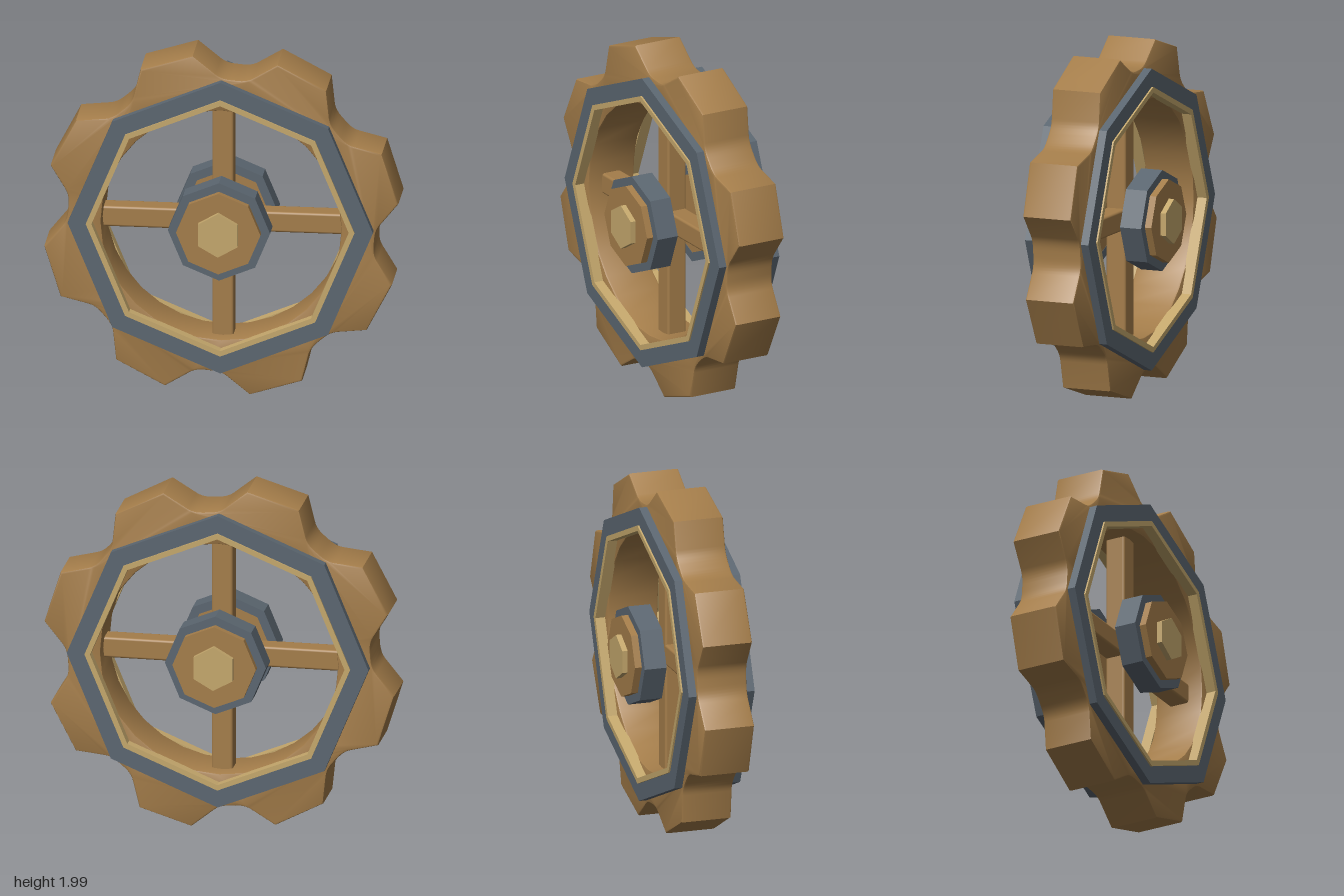
import * as THREE from 'three';
import { toCreasedNormals } from 'three/addons/utils/BufferGeometryUtils.js';
import { RoundedBoxGeometry } from 'three/addons/geometries/RoundedBoxGeometry.js';

const wood = new THREE.MeshStandardMaterial({ name: 'wood', color: 0xa47d4a });
const slate = new THREE.MeshStandardMaterial({ name: 'slate metal', color: 0x5b6670 });
const brass = new THREE.MeshStandardMaterial({ name: 'pale brass', color: 0xc4a76c });

// Regular polygon with one corner pointing up
function polygon(radius, sides) {
  const points = [];
  for (let i = 0; i < sides; i++) {
    const a = Math.PI / 2 + (i / sides) * Math.PI * 2;
    points.push(new THREE.Vector2(Math.cos(a) * radius, Math.sin(a) * radius));
  }
  return points;
}

// Flat-sided prism from z0 to z1, with an optional polygon hole
function prism(name, material, sides, outer, inner, z0, z1) {
  const shape = new THREE.Shape(polygon(outer, sides));
  if (inner) shape.holes.push(new THREE.Path(polygon(inner, sides)));
  const geometry = new THREE.ExtrudeGeometry(shape, { depth: z1 - z0, bevelEnabled: false });
  geometry.translate(0, 0, z0);
  const mesh = new THREE.Mesh(geometry, material);
  mesh.name = name;
  return mesh;
}

// Rim with eight blunt teeth and softly rounded valleys
function toothedRim() {
  const shape = new THREE.Shape();
  const centre = new THREE.Vector2();
  const tooth = [[-0.455, 0.905], [-0.16, 0.997], [0, 0.868], [0.145, 0.857]];
  for (let i = 0; i < 8; i++) {
    const at = (k, turn = i) => new THREE.Vector2(...tooth[k]).rotateAround(centre, -turn * Math.PI / 4);
    const [start, tip, rootA, rootB, next] = [at(0), at(1), at(2), at(3), at(0, i + 1)];
    if (i === 0) shape.moveTo(start.x, start.y);
    else shape.lineTo(start.x, start.y);
    shape.lineTo(tip.x, tip.y);
    const a0 = tip.clone().lerp(rootA, 0.8), a1 = rootA.clone().lerp(rootB, 0.35);
    const b0 = rootA.clone().lerp(rootB, 0.65), b1 = rootB.clone().lerp(next, 0.2);
    shape.lineTo(a0.x, a0.y);
    shape.quadraticCurveTo(rootA.x, rootA.y, a1.x, a1.y);
    shape.lineTo(b0.x, b0.y);
    shape.quadraticCurveTo(rootB.x, rootB.y, b1.x, b1.y);
  }
  shape.closePath();
  shape.holes.push(new THREE.Path(polygon(0.677, 32)));
  const bevel = 0.012;
  const geometry = new THREE.ExtrudeGeometry(shape, {
    depth: 0.296 - 2 * bevel, curveSegments: 5, bevelSegments: 2,
    bevelSize: bevel, bevelThickness: bevel, bevelOffset: -bevel,
  });
  geometry.translate(0, 0, -0.148 + bevel);
  const mesh = new THREE.Mesh(toCreasedNormals(geometry, 0.5), wood);
  mesh.name = 'toothedRim';
  return mesh;
}

export function createModel() {
  const wheel = new THREE.Group();
  wheel.name = 'gearWheel';
  wheel.add(toothedRim());

  // Four square spokes meeting in the middle
  for (let i = 0; i < 4; i++) {
    const geometry = new RoundedBoxGeometry(0.7, 0.12, 0.12, 2, 0.014);
    geometry.translate(0.34, 0, 0);
    const spoke = new THREE.Mesh(geometry, wood);
    spoke.name = 'spoke';
    spoke.rotation.z = i * Math.PI / 2;
    wheel.add(spoke);
  }

  // Rim bands and stacked hub caps on both faces
  for (const side of ['front', 'back']) {
    const face = new THREE.Group();
    face.name = side + 'Face';
    face.add(
      prism('rimBand', slate, 8, 0.86, 0.75, 0.14, 0.195),
      prism('rimTrim', brass, 8, 0.757, 0.725, 0.14, 0.205),
      prism('hubCollar', slate, 8, 0.288, 0.235, 0.13, 0.26),
      prism('hubDisc', wood, 8, 0.238, 0, 0.132, 0.3),
      prism('hubBolt', brass, 6, 0.128, 0, 0.28, 0.332),
    );
    if (side === 'back') face.rotation.y = Math.PI;
    wheel.add(face);
  }

  wheel.position.y = 1;
  const model = new THREE.Group();
  model.name = 'model';
  model.add(wheel);
  return model;
}
